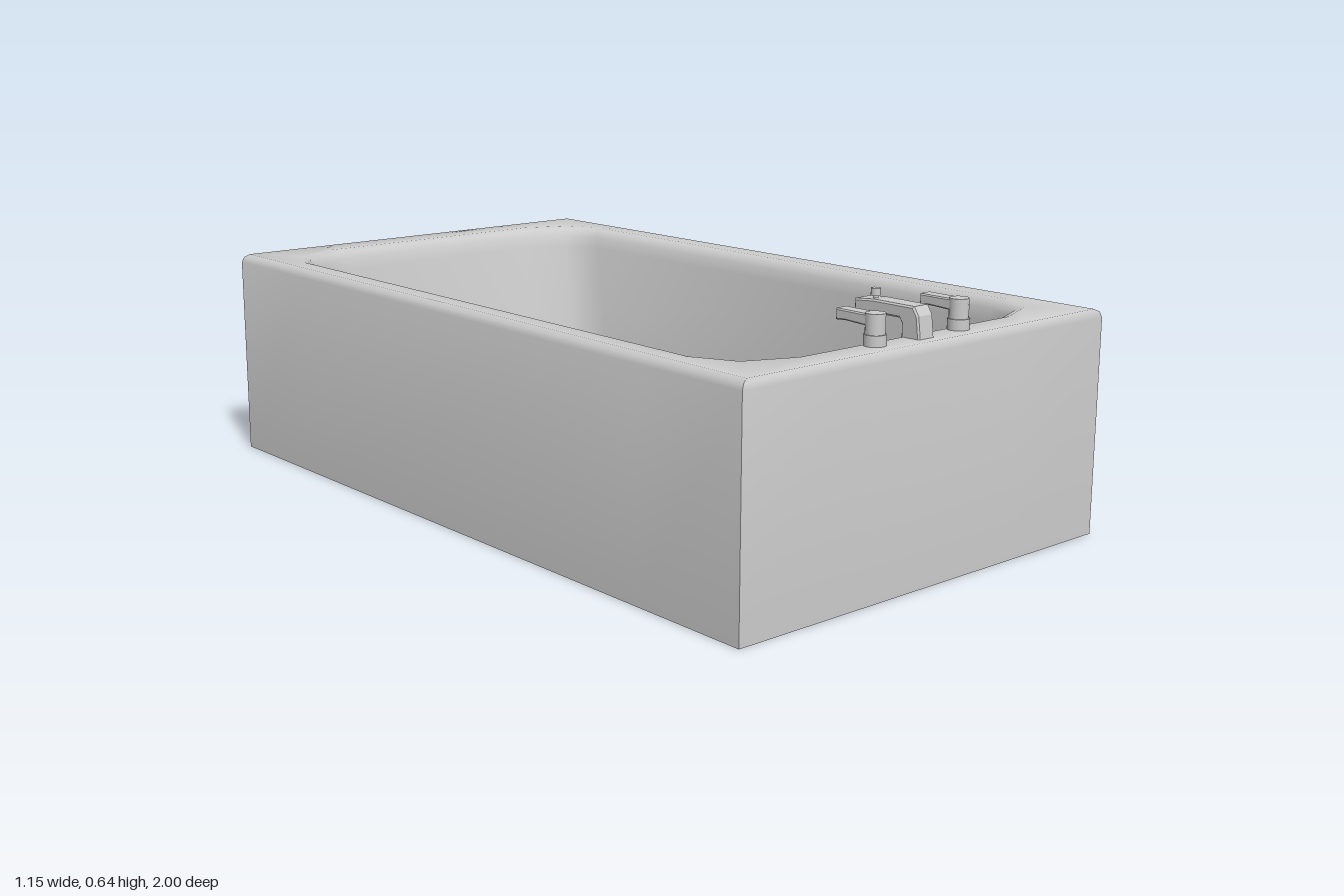
import * as THREE from 'three';
import { toCreasedNormals } from 'three/addons/utils/BufferGeometryUtils.js';

const material = new THREE.MeshStandardMaterial({ color: 0xcccccc });

function add(parent, name, geometry, x = 0, y = 0, z = 0) {
  const mesh = new THREE.Mesh(geometry, material);
  mesh.name = name;
  mesh.position.set(x, y, z);
  parent.add(mesh);
  return mesh;
}

// Twelve-point ring with half sizes a and b: square or chamfered corners.
function ring(a, b, y, square) {
  const corner = square
    ? [[a, 0.68], [a, b], [0.28, b]]
    : [[a, b - 0.14], [a - 0.05, b - 0.05], [a - 0.17, b]];
  const points = [];
  for (const [sx, sz] of [[1, -1], [-1, -1], [-1, 1], [1, 1]]) {
    const list = sx * sz < 0 ? corner : [...corner].reverse();
    for (const [x, z] of list) points.push([sx * x, y, sz * z]);
  }
  return points;
}

// Skin over a stack of rings, closed at both ends.
function loft(rings) {
  const n = rings[0].length;
  const positions = rings.flat(2);
  const index = [];
  for (let i = 0; i < rings.length - 1; i++) {
    for (let j = 0; j < n; j++) {
      const a = i * n + j, b = i * n + (j + 1) % n;
      index.push(a, b, b + n, a, b + n, a + n);
    }
  }
  const last = (rings.length - 1) * n;
  const bottom = rings.length * n;
  positions.push(0, rings[0][0][1], 0, 0, rings[rings.length - 1][0][1], 0);
  for (let j = 0; j < n; j++) {
    const k = (j + 1) % n;
    index.push(bottom, k, j, bottom + 1, last + j, last + k);
  }
  const geometry = new THREE.BufferGeometry();
  geometry.setAttribute('position', new THREE.Float32BufferAttribute(positions, 3));
  geometry.setIndex(index);
  return toCreasedNormals(geometry, 0.85);
}

// Side profile in (z, y), extruded across the width.
function sideExtrude(points, width, bevel) {
  const shape = new THREE.Shape(points.map(([z, y]) => new THREE.Vector2(-z, y)));
  const geometry = new THREE.ExtrudeGeometry(shape, {
    depth: width - 2 * bevel, bevelThickness: bevel, bevelSize: bevel,
    bevelOffset: -bevel, bevelSegments: 1,
  });
  geometry.translate(0, 0, bevel - width / 2);
  geometry.rotateY(Math.PI / 2);
  return geometry;
}

export function createModel() {
  const model = new THREE.Group();
  model.name = 'bathtub';

  // Tub: outer walls, rounded edge, rim, rolled lip, basin walls and floor
  add(model, 'tub', loft([
    ring(0.573, 1, 0, true),
    ring(0.573, 1, 0.525, true),
    ring(0.567, 0.997, 0.539, true),
    ring(0.553, 0.99, 0.546, true),
    ring(0.505, 0.918, 0.545),
    ring(0.492, 0.903, 0.538),
    ring(0.483, 0.892, 0.52),
    ring(0.479, 0.885, 0.49),
    ring(0.465, 0.845, 0.31),
    ring(0.452, 0.808, 0.135),
  ]));

  // Overflow cover on the sloping front wall
  const cover = add(model, 'overflowCover',
    new THREE.CylinderGeometry(0.038, 0.042, 0.03, 24), 0, 0.485, 0.872);
  cover.rotation.x = -Math.PI / 2 + 0.2;

  // Spout with its diverter knob
  const spout = new THREE.Group();
  spout.name = 'spout';
  model.add(spout);
  add(spout, 'spoutBody', sideExtrude([
    [0.965, 0.54], [0.958, 0.595], [0.945, 0.615], [0.83, 0.615], [0.775, 0.61],
    [0.775, 0.575], [0.81, 0.575], [0.82, 0.585], [0.905, 0.585], [0.912, 0.575], [0.912, 0.54],
  ], 0.05, 0.004));
  add(spout, 'diverterStem', new THREE.CylinderGeometry(0.006, 0.006, 0.02, 12), 0, 0.617, 0.815);
  add(spout, 'diverterKnob', new THREE.CylinderGeometry(0.011, 0.011, 0.017, 12), 0, 0.627, 0.815);

  // Pair of lever handles
  for (const side of [-1, 1]) {
    const handle = new THREE.Group();
    handle.name = side > 0 ? 'leftHandle' : 'rightHandle';
    handle.position.set(side * 0.134, 0, 0.938);
    model.add(handle);
    add(handle, 'handleBase', new THREE.CylinderGeometry(0.025, 0.025, 0.03, 20), 0, 0.555, 0);
    add(handle, 'handlePost', new THREE.CylinderGeometry(0.022, 0.022, 0.05, 20), 0, 0.59, 0);
    add(handle, 'handleLever', sideExtrude([
      [0, 0.613], [0, 0.587], [-0.07, 0.59], [-0.098, 0.588], [-0.098, 0.613],
    ], 0.036, 0.003));
  }
  return model;
}
